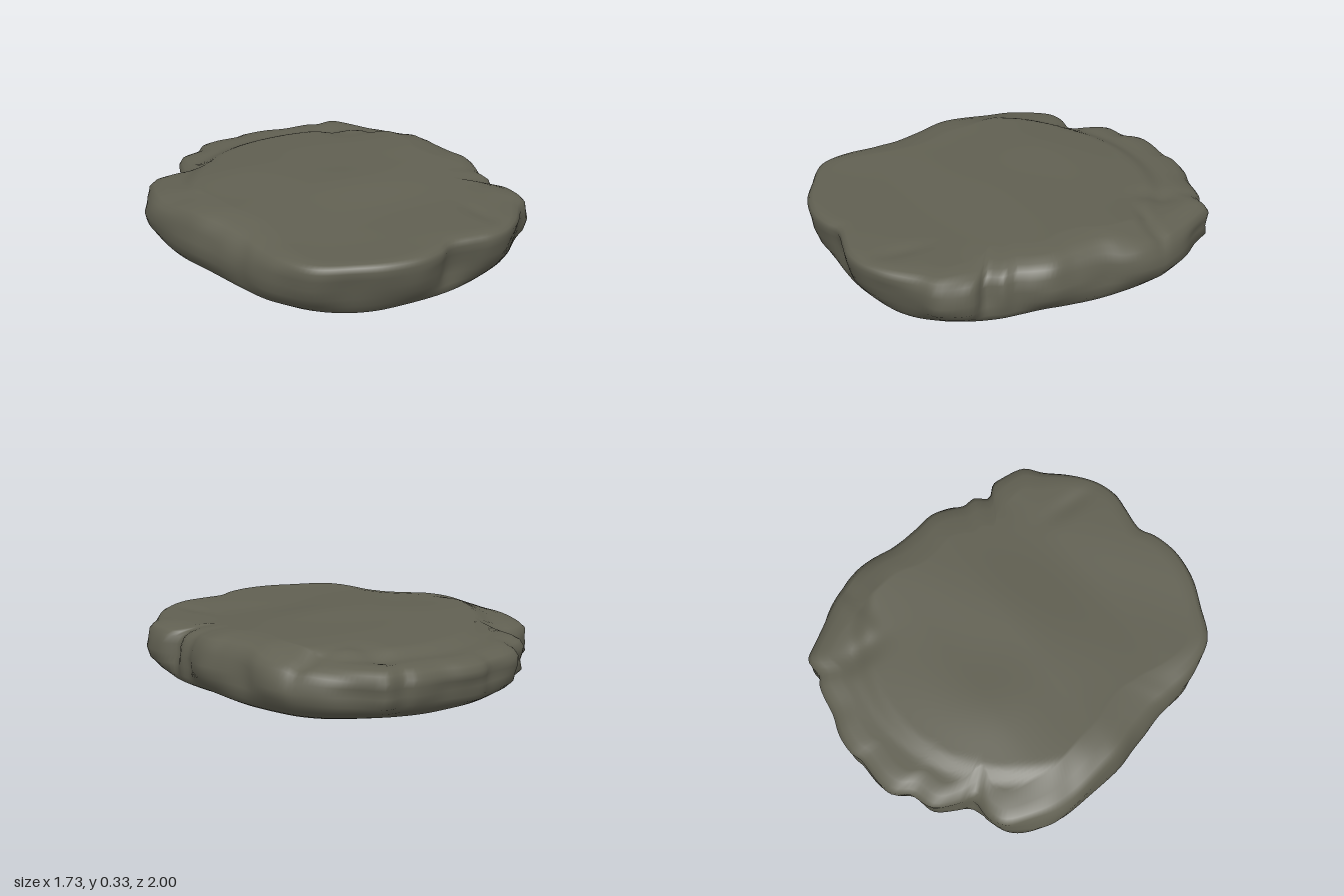
import * as THREE from 'three';

// Footprint of the slab as x, z pairs, clockwise seen from above, starting at the back
const OUTLINE = [
  0.03, -0.998, 0.16, -0.99, 0.27, -0.95, 0.43, -0.92, 0.47, -0.895, 0.575, -0.89, 0.625, -0.825,
  0.72, -0.68, 0.815, -0.53, 0.85, -0.395, 0.85, -0.29, 0.83, -0.18, 0.84, -0.02, 0.865, 0.11,
  0.835, 0.215, 0.8, 0.285, 0.8, 0.35, 0.755, 0.425, 0.805, 0.495, 0.805, 0.56, 0.77, 0.675,
  0.68, 0.74, 0.535, 0.865, 0.43, 0.93, 0.32, 0.955, 0.22, 0.945, 0.085, 0.93, 0.005, 0.97,
  -0.125, 0.995, -0.285, 0.97, -0.445, 0.9, -0.62, 0.8, -0.71, 0.64, -0.74, 0.48, -0.745, 0.375,
  -0.78, 0.24, -0.83, 0.08, -0.845, -0.05, -0.865, -0.235, -0.86, -0.395, -0.815, -0.53,
  -0.745, -0.63, -0.655, -0.66, -0.535, -0.66, -0.51, -0.73, -0.445, -0.845, -0.32, -0.885,
  -0.26, -0.955, -0.18, -0.98, -0.02, -0.982,
];

// Wall profiles from foot to shoulder: [inset, fraction of the local height]
const FRONT = [[0.075, 0], [0.06, 0.06], [0.045, 0.18], [0.035, 0.35], [0.022, 0.55], [0.01, 0.73], [0, 0.87], [0.01, 0.95], [0.03, 0.99], [0.07, 1]];
const SIDE = [[0.075, 0], [0.04, 0.06], [0.014, 0.18], [0, 0.35], [0.002, 0.52], [0.012, 0.7], [0.032, 0.84], [0.062, 0.92], [0.12, 0.97], [0.21, 1]];
const BACK = [[0.13, 0], [0.08, 0.06], [0.03, 0.2], [0.008, 0.34], [0.014, 0.5], [0.006, 0.66], [0, 0.79], [0.022, 0.9], [0.06, 0.97], [0.11, 1]];

const SEGMENTS = 240;
const TOP_RINGS = 40;
const FOOT_SPAN = 13;
const step = THREE.MathUtils.smoothstep;
const dent = (x, z, cx, cz, rx, rz) => Math.exp(-(((x - cx) / rx) ** 2) - ((z - cz) / rz) ** 2);

// Height of the upper face: gentle crown, rim ledge at the back, creases and hollows
function topHeight(x, z) {
  let y = 0.284 + 0.033 * step(-z, -0.55, -0.03);
  const rim = Math.hypot((x - 0.05) / 0.8, (z - 0.1) / 0.84);
  y -= 0.022 * step(-z, 0.3, 0.75);
  y -= 0.032 * step(rim, 0.95, 1.08) * step(-z, -0.05, 0.3);
  y += 0.008 * dent(x, z, -0.25, -0.2, 0.2, 0.25);
  y -= 0.022 * dent(x, z, 0.7, -0.5, 0.16, 0.04);
  y -= 0.018 * dent(x, z, 0.42, -0.66, 0.06, 0.12);
  y -= 0.01 * dent(x, z, 0.42, 0.72, 0.05, 0.14);
  y -= 0.012 * dent(x, z, 0.72, 0.43, 0.12, 0.06);
  y += 0.003 * Math.sin(5 * x + 9 * z) + 0.003 * Math.sin(7 * x - 6 * z + 2) * Math.cos(4 * z);
  return y;
}

// Shallow lumps on the wall
const lump = (x, y, z) =>
  0.011 * Math.sin(11 * x + 14 * y + 1) * Math.sin(10 * z - 12 * y) +
  0.007 * Math.sin(19 * x - 31 * y) * Math.cos(17 * z + 24 * y);

function outlinePoints() {
  const points = [];
  for (let i = 0; i < OUTLINE.length; i += 2) points.push(new THREE.Vector3(OUTLINE[i], 0, OUTLINE[i + 1]));
  return new THREE.CatmullRomCurve3(points, true).getSpacedPoints(SEGMENTS).slice(0, SEGMENTS);
}

// The same outline with its notches averaged out, for the foot
function smoothed(points) {
  return points.map((_, i) => {
    const sum = new THREE.Vector3();
    for (let d = -FOOT_SPAN; d <= FOOT_SPAN; d++) sum.add(points[(i + d + SEGMENTS) % SEGMENTS]);
    return sum.divideScalar(2 * FOOT_SPAN + 1);
  });
}

function wallPoint(edge, foot, k) {
  const front = step(edge.z, 0.5, 0.9);
  const back = step(-edge.z, 0.45, 0.85);
  const side = 1 - front - back;
  const mix = (j) => FRONT[k][j] * front + SIDE[k][j] * side + BACK[k][j] * back;
  const height = mix(1);
  const p = edge.clone().lerp(foot, 1 - step(height, 0, 0.45));
  const bulge = lump(p.x, height * 0.3, p.z) * Math.sin(Math.PI * height) * (1 - 0.5 * front);
  const s = 1 - (mix(0) - bulge) / Math.hypot(p.x, p.z);
  const x = p.x * s, z = p.z * s;
  return new THREE.Vector3(x, height * topHeight(x, z), z);
}

function createModel() {
  const stone = new THREE.MeshStandardMaterial({ color: 0x616052 });
  stone.name = 'dark olive stone';
  const model = new THREE.Group();
  model.name = 'stoneSlab';

  // Rings climb the wall, then close in over the upper face
  const outline = outlinePoints();
  const footline = smoothed(outline);
  const rings = SIDE.map((_, k) => outline.map((p, i) => wallPoint(p, footline[i], k)));
  const shoulder = rings[rings.length - 1];
  for (let i = 1; i < TOP_RINGS; i++) {
    const t = 1 - i / TOP_RINGS;
    rings.push(shoulder.map((p) => new THREE.Vector3(p.x * t, topHeight(p.x * t, p.z * t), p.z * t)));
  }
  const vertices = rings.flat();
  const centre = vertices.length;
  vertices.push(new THREE.Vector3(0, topHeight(0, 0), 0));

  const index = [];
  for (let i = 0; i < SEGMENTS; i++) {
    const j = (i + 1) % SEGMENTS;
    for (let r = 0; r < rings.length - 1; r++) {
      const a = r * SEGMENTS, b = a + SEGMENTS;
      index.push(a + i, b + i, a + j, a + j, b + i, b + j);
    }
    const last = (rings.length - 1) * SEGMENTS;
    index.push(last + i, centre, last + j);
  }
  const bodyGeometry = new THREE.BufferGeometry().setFromPoints(vertices);
  bodyGeometry.setIndex(index);
  bodyGeometry.computeVertexNormals();
  const body = new THREE.Mesh(bodyGeometry, stone);
  body.name = 'slabBody';
  model.add(body);

  // Flat underside with a crisp edge
  const foot = new THREE.Shape(rings[0].map((p) => new THREE.Vector2(p.x, p.z)));
  const underside = new THREE.Mesh(new THREE.ShapeGeometry(foot), stone);
  underside.rotation.x = Math.PI / 2;
  underside.name = 'underside';
  model.add(underside);

  return model;
}

export { createModel };
